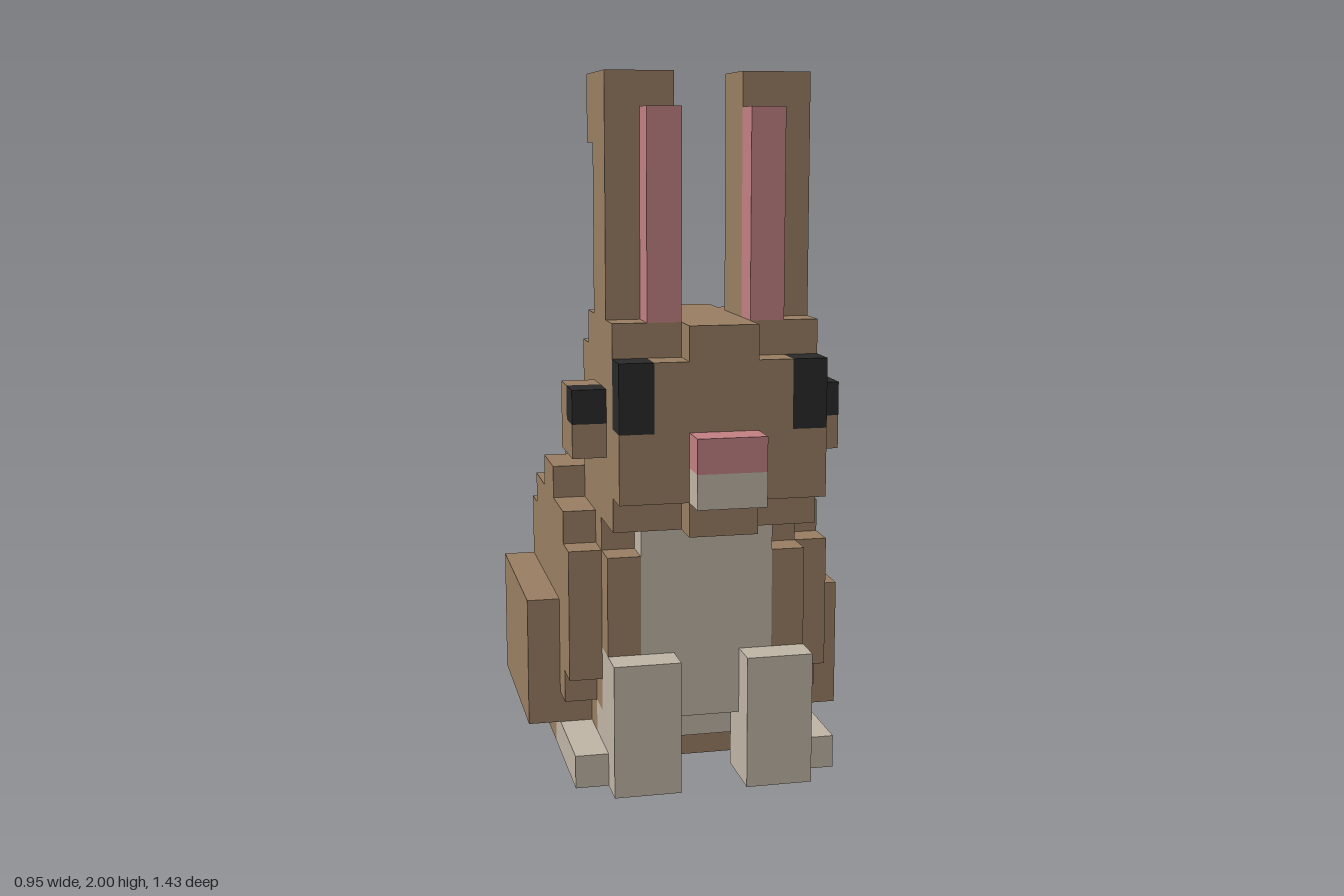
import * as THREE from 'three';

// One block of the grid; 21 blocks make the full height
const U = 2 / 21;

const mat = (name, color) => {
  const m = new THREE.MeshStandardMaterial({ color });
  m.name = name;
  return m;
};

export function createModel() {
  const brown = mat('brownFur', 0x987e62);
  const cream = mat('creamFur', 0xbfb5a5);
  const pink = mat('pink', 0xc28082);
  const black = mat('black', 0x2a2a2a);

  const model = new THREE.Group();
  model.name = 'rabbit';

  const part = (name) => {
    const g = new THREE.Group();
    g.name = name;
    model.add(g);
    return g;
  };

  // Box given by its limits in blocks
  const box = (parent, name, m, x0, x1, y0, y1, z0, z1) => {
    const geo = new THREE.BoxGeometry((x1 - x0) * U, (y1 - y0) * U, (z1 - z0) * U);
    const mesh = new THREE.Mesh(geo, m);
    mesh.name = name;
    mesh.position.set((x0 + x1) / 2 * U, (y0 + y1) / 2 * U, (z0 + z1) / 2 * U);
    parent.add(mesh);
  };
  // Box centred on x = 0
  const mid = (parent, name, m, w, ...r) => box(parent, name, m, -w, w, ...r);
  // Mirrored pair of boxes
  const pair = (parent, name, m, x0, x1, ...r) => {
    box(parent, name + 'Left', m, x0, x1, ...r);
    box(parent, name + 'Right', m, -x1, -x0, ...r);
  };

  // Body: half width, y range, z range of each stepped layer
  const body = part('body');
  [
    [4, 1, 7, -4.5, 1.5],
    [4, 2, 7, 1.5, 2.5],
    [4, 3, 7, 2.5, 3.5],
    [4, 7, 8, -3.5, 2.5],
    [4, 8, 9, -1.5, 0.5],
    [3, 1, 2, 1.5, 2.5],
    [3, 2, 8, 2.5, 3.5],
    [3, 7, 8, -4.5, -3.5],
    [3, 8, 9, -3.5, -1.5],
    [2, 8, 9, -4.5, -3.5],
    [2, 9, 10, -3.5, 0.5],
    [3, 2, 7, -5.5, -4.5],
    [2, 7, 8, -5.5, -4.5],
    [2, 0, 1, -2.5, 2.5],
  ].forEach((r) => mid(body, 'bodyLayer', brown, ...r));
  pair(body, 'rump', brown, 3, 4, 2, 4, -5.5, -4.5);
  pair(body, 'thigh', brown, 4, 5, 1, 5, -4.5, 1.5);
  pair(body, 'chestSide', brown, 2, 3, 4, 7, 3.5, 4.5);
  mid(body, 'chest', cream, 2, 2, 8, 3.5, 4.5);
  mid(body, 'belly', cream, 3, 1, 2, 2.5, 3.5);

  // Legs and feet
  const legs = part('legs');
  pair(legs, 'frontLeg', cream, 1, 3, 0, 4, 3.5, 5.5);
  pair(legs, 'foot', cream, 3, 4, 0, 1, 0.5, 4.5);
  pair(legs, 'heel', brown, 3, 4, 0, 1, -3.5, 0.5);

  // Tail
  const tail = part('tail');
  mid(tail, 'tailUpright', cream, 1, 2, 6, -6.5, -5.5);
  pair(tail, 'tailSide', cream, 1, 2, 3, 5, -6.5, -5.5);
  mid(tail, 'tailTip', cream, 1, 3, 5, -7.5, -6.5);

  // Head with clipped front and back edges
  const head = part('head');
  mid(head, 'skull', brown, 3, 8, 14, 1.5, 5.5);
  mid(head, 'headBack', brown, 3, 8, 13, 0.5, 1.5);
  mid(head, 'headBackTop', brown, 1, 13, 14, 0.5, 1.5);
  mid(head, 'faceLower', brown, 3, 9, 11, 5.5, 6.5);
  mid(head, 'faceUpper', brown, 2, 11, 13, 5.5, 6.5);
  mid(head, 'brow', brown, 1, 13, 14, 5.5, 6.5);
  mid(head, 'chin', brown, 1, 8, 9, 5.5, 6.5);
  pair(head, 'frontEye', black, 2, 3, 11, 13, 5.5, 6.5);
  pair(head, 'cheekLower', brown, 3, 4, 10, 11, 2.5, 4.5);
  pair(head, 'cheekUpper', brown, 3, 4, 11, 12, 2.5, 3.5);
  pair(head, 'sideEye', black, 3, 4, 11, 12, 3.5, 4.5);
  mid(head, 'nose', pink, 1, 10, 11, 6.5, 7.5);
  mid(head, 'mouth', cream, 1, 9, 10, 6.5, 7.5);

  // Ears; the right one has a tip bent backwards
  const ears = part('ears');
  pair(ears, 'ear', brown, 1, 3, 14, 21, 2.5, 4.5);
  pair(ears, 'innerEar', pink, 1, 2, 14, 20, 4.5, 5.5);
  box(ears, 'earTipRight', brown, -3, -1, 19, 21, 1.5, 2.5);

  return model;
}
